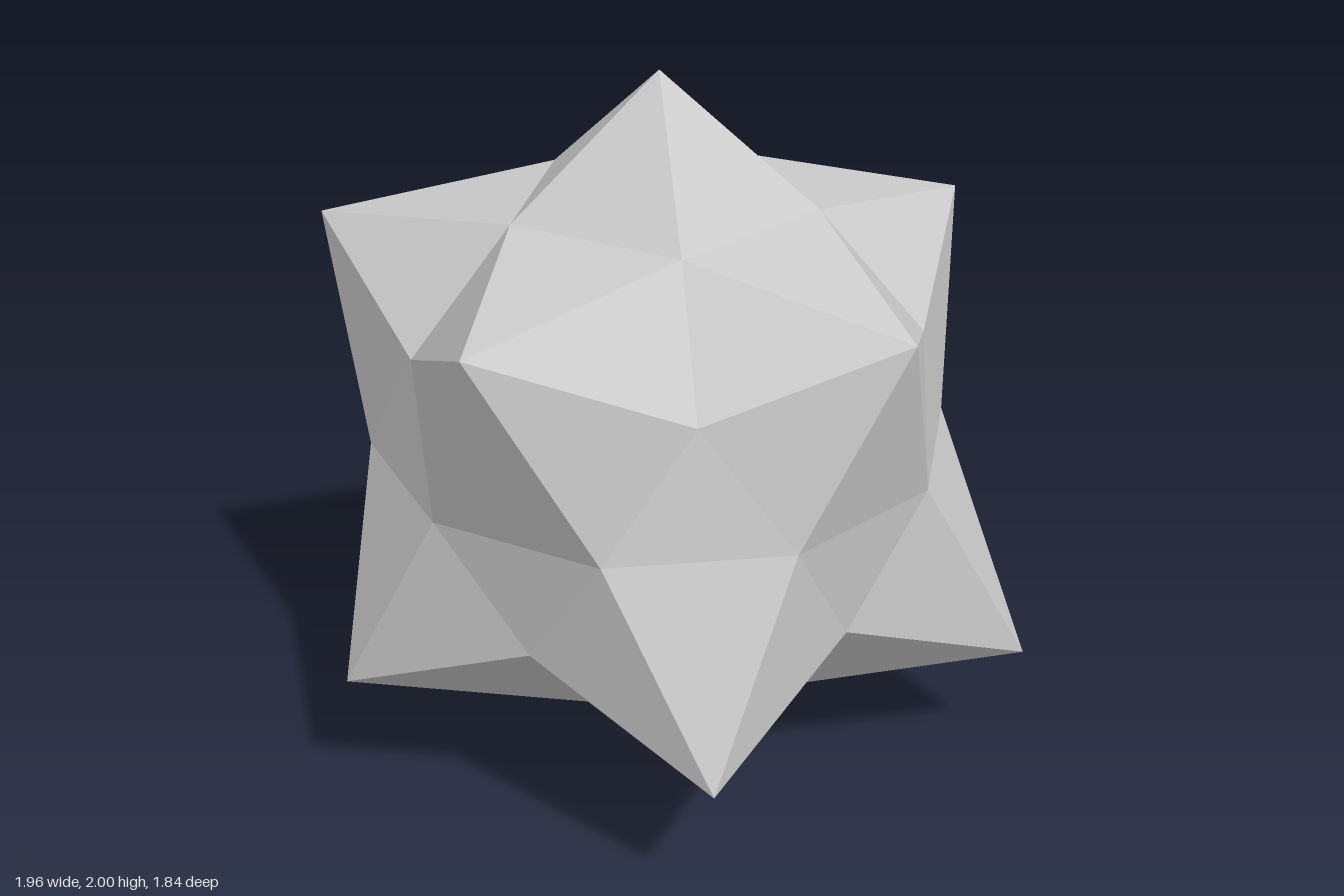
import * as THREE from 'three';

const CENTRE = new THREE.Vector3(-0.05, 0.99, 0);

// Point on a ring around the vertical axis, angle in degrees from +x towards +z
function ringPoint(radius, y, degrees) {
  const a = THREE.MathUtils.degToRad(degrees);
  return new THREE.Vector3(CENTRE.x + radius * Math.cos(a), y, radius * Math.sin(a));
}

// Flat-shaded mesh from triangles, each turned to face away from the centre
function facetMesh(name, triangles, material) {
  const points = [];
  for (const [a, b, c] of triangles) {
    const normal = b.clone().sub(a).cross(c.clone().sub(a));
    const outward = a.clone().add(b).add(c).divideScalar(3).sub(CENTRE);
    points.push(...(normal.dot(outward) > 0 ? [a, b, c] : [a, c, b]));
  }
  const geometry = new THREE.BufferGeometry().setFromPoints(points);
  geometry.computeVertexNormals();
  const mesh = new THREE.Mesh(geometry, material);
  mesh.name = name;
  return mesh;
}

// Pyramid from a tip to a closed base loop
const spike = (tip, base) => base.map((p, i) => [tip, p, base[(i + 1) % base.length]]);

export function createModel() {
  const group = new THREE.Group();
  group.name = 'spikedStar';
  const material = new THREE.MeshStandardMaterial({ color: 0xcccccc, flatShading: true });
  const v = (x, y, z) => new THREE.Vector3(x, y, z);

  // Each half: slightly uneven tips, the pole, and the heights of its valley rings
  const halves = [
    {
      name: 'upper', start: 36, pole: v(-0.05, 2, 0), innerY: 1.65, outerY: 1.33,
      tips: [v(0.67, 1.52, 0.52), v(-0.34, 1.58, 0.92), v(-0.98, 1.555, 0),
        v(-0.32, 1.53, -0.85), v(0.69, 1.54, -0.54)],
    },
    {
      name: 'lower', start: 0, pole: v(-0.05, 0, 0), innerY: 0.33, outerY: 0.64,
      tips: [v(0.98, 0.37, 0), v(0.25, 0.42, 0.89), v(-0.81, 0.42, 0.55),
        v(-0.81, 0.42, -0.55), v(0.25, 0.4, -0.92)],
    },
  ];

  for (const { name, start, pole, innerY, outerY, tips } of halves) {
    const inner = (a) => ringPoint(0.42, innerY, a);
    const outer = (a) => ringPoint(0.704, outerY, a);
    const waist = (a) => ringPoint(0.79, CENTRE.y, a);

    // Pole spike on a pentagon
    const pentagon = tips.map((_, i) => inner(start + 36 + 72 * i));
    group.add(facetMesh(`${name}PoleSpike`, spike(pole, pentagon), material));

    tips.forEach((tip, i) => {
      const a = start + 72 * i;
      // Side spike on a six-cornered base
      const base = [inner(a - 36), inner(a + 36), outer(a + 36),
        waist(a + 18), waist(a - 18), outer(a - 36)];
      group.add(facetMesh(`${name}SideSpike${i + 1}`, spike(tip, base), material));

      // Valley triangle between neighbouring spikes
      const valley = [[outer(a + 36), waist(a + 18), waist(a + 54)]];
      group.add(facetMesh(`${name}Valley${i + 1}`, valley, material));
    });
  }
  return group;
}
